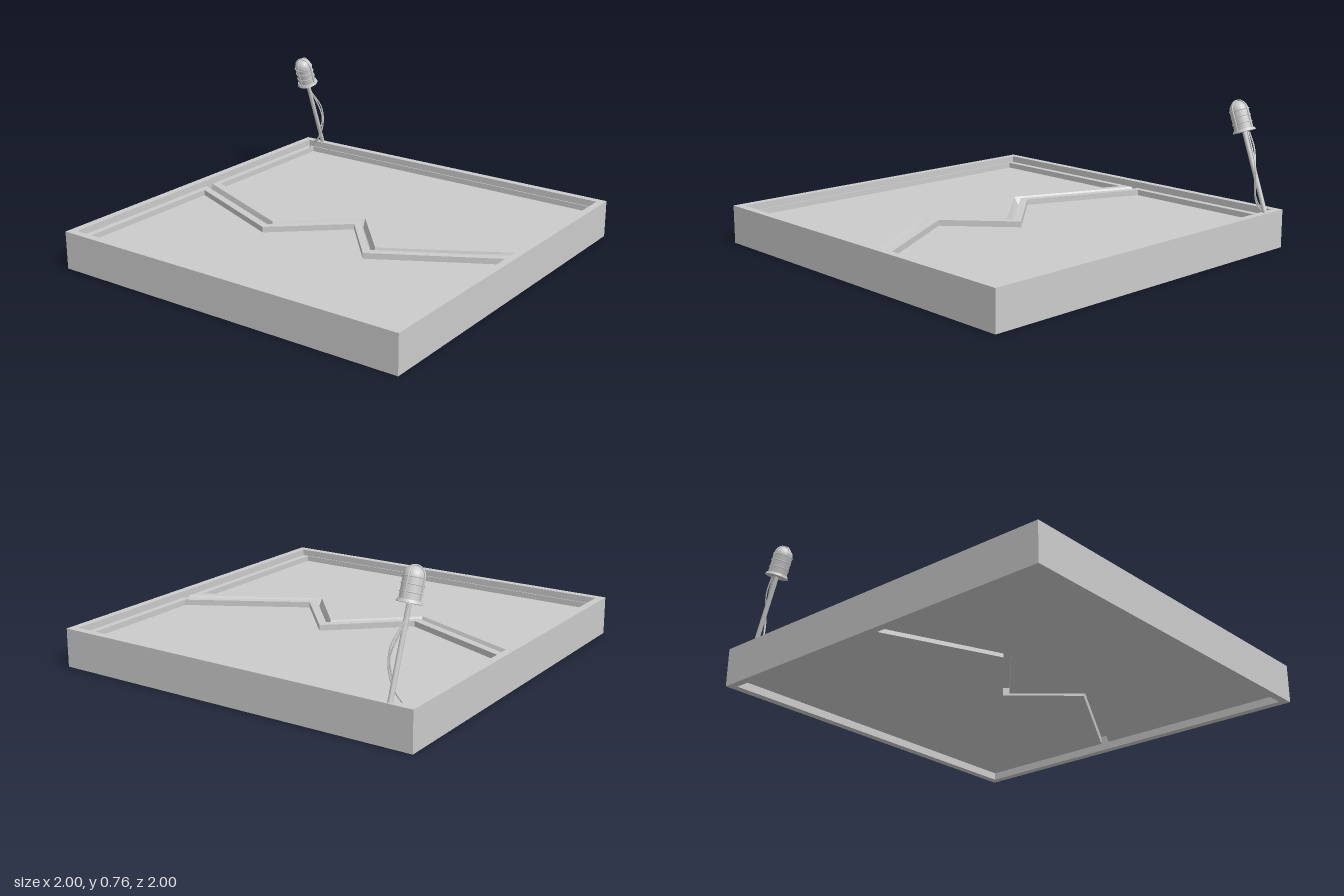
import * as THREE from 'three';

const mat = new THREE.MeshStandardMaterial({ color: 0xcccccc });
const flat = new THREE.MeshStandardMaterial({ color: 0xcccccc, flatShading: true, side: THREE.DoubleSide });

function add(parent, name, geo, material = mat) {
  const m = new THREE.Mesh(geo, material);
  m.name = name;
  parent.add(m);
  return m;
}

// Plan outline of [x, z] points as counter-clockwise 2D points
function outline(points) {
  const v = points.map(p => new THREE.Vector2(p[0], -p[1]));
  return THREE.ShapeUtils.isClockWise(v) ? v.reverse() : v;
}

// Extrude a plan outline between heights y0 and y1, with an optional hole
function slab(points, y0, y1, hole) {
  const shape = new THREE.Shape(outline(points));
  if (hole) shape.holes.push(new THREE.Path(outline(hole).reverse()));
  return new THREE.ExtrudeGeometry(shape, { depth: y1 - y0, bevelEnabled: false })
    .rotateX(-Math.PI / 2).translate(0, y0, 0);
}

// Sloping strip between two zigzag lines at different heights
function ribbon(a, ya, b, yb) {
  const pos = [], idx = [];
  a.forEach((p, i) => {
    pos.push(p[0], ya, p[1], b[i][0], yb, b[i][1]);
    if (i) {
      const k = 2 * i;
      idx.push(k - 2, k - 1, k, k, k - 1, k + 1);
    }
  });
  const g = new THREE.BufferGeometry();
  g.setAttribute('position', new THREE.Float32BufferAttribute(pos, 3));
  g.setIndex(idx);
  g.computeVertexNormals();
  return g;
}

const square = r => [[-r, -r], [r, -r], [r, r], [-r, r]];

// Zigzag seam lines, from the back door across the groove to the front door
const backPanelEdge = [[-0.925, -0.09], [-0.31, 0.163], [0.055, -0.167], [0.335, 0.142], [0.925, -0.195]];
const backEdge = [[-0.96, -0.06], [-0.307, 0.21], [0.055, -0.108], [0.328, 0.198], [0.96, -0.167]];
const grooveLine = [[-0.96, -0.04], [-0.305, 0.227], [0.055, -0.09], [0.325, 0.212], [0.96, -0.15]];
const frontEdge = [[-0.96, -0.012], [-0.303, 0.257], [0.055, -0.065], [0.322, 0.24], [0.96, -0.117]];
const frontPanelEdge = [[-0.925, 0.045], [-0.3, 0.303], [0.055, -0.008], [0.32, 0.292], [0.925, -0.05]];

const PANEL = 0.135, RIM = 0.165, GROOVE = 0.12;

// Plan of one door: seam line closed along the frame
const doorPlan = (edge, x, z) => [...edge, [x, z], [-x, z]];

// Sunken panel with a raised rim around it
function buildDoor(name, edge, panelEdge, side) {
  const g = new THREE.Group();
  g.name = name;
  const plan = doorPlan(edge, 0.96, side * 0.96);
  add(g, 'doorPanel', slab(plan, 0.04, PANEL));
  add(g, 'doorRim', slab(plan, PANEL, RIM, doorPlan(panelEdge, 0.925, side * 0.954)));
  return g;
}

function buildHatch() {
  const g = new THREE.Group();
  g.name = 'hatch';
  add(g, 'frame', slab(square(1), 0, 0.2, square(0.96)));
  g.add(buildDoor('backDoor', backEdge, backPanelEdge, -1));
  g.add(buildDoor('frontDoor', frontEdge, frontPanelEdge, 1));
  // V-shaped groove closing the seam
  add(g, 'grooveBackSlope', ribbon(backEdge, RIM, grooveLine, GROOVE), flat);
  add(g, 'grooveFrontSlope', ribbon(grooveLine, GROOVE, frontEdge, RIM), flat);
  add(g, 'seamSeal', slab([...backEdge, ...[...frontEdge].reverse()], 0.08, GROOVE));
  return g;
}

function buildLamp() {
  const g = new THREE.Group();
  g.name = 'warningLamp';
  const head = new THREE.Group();
  head.name = 'lampHead';

  // Flared base collar
  add(head, 'collar', new THREE.CylinderGeometry(0.054, 0.06, 0.014, 24).translate(0, 0.007, 0));
  // Domed glass
  const profile = [[0.049, 0.01], [0.049, 0.112]];
  for (let i = 1; i <= 8; i++) {
    const a = i / 8 * Math.PI / 2;
    profile.push([0.049 * Math.cos(a), 0.112 + 0.049 * Math.sin(a)]);
  }
  add(head, 'glassDome', new THREE.LatheGeometry(profile.map(p => new THREE.Vector2(Math.max(p[0], 0), p[1])), 24));

  // Cage hoops over the dome
  for (let i = 0; i < 2; i++) {
    const pts = [new THREE.Vector3(-0.052, 0.01, 0)];
    for (let k = 0; k <= 12; k++) {
      const a = Math.PI * (1 - k / 12);
      pts.push(new THREE.Vector3(0.052 * Math.cos(a), 0.112 + 0.052 * Math.sin(a), 0));
    }
    pts.push(new THREE.Vector3(0.052, 0.01, 0));
    const bar = add(head, 'cageHoop', new THREE.TubeGeometry(new THREE.CatmullRomCurve3(pts, false, 'centripetal'), 36, 0.004, 6));
    bar.rotation.y = i * Math.PI / 2;
  }
  // Cage rings
  for (const y of [0.045, 0.08, 0.112]) {
    add(head, 'cageRing', new THREE.TorusGeometry(0.05, 0.003, 6, 28).rotateX(Math.PI / 2).translate(0, y, 0));
  }
  head.position.set(-0.875, 0.598, -0.836);
  head.rotation.x = 0.35;
  g.add(head);

  // Leaning pole
  const pole = new THREE.LineCurve3(new THREE.Vector3(-0.875, 0.19, -0.985), new THREE.Vector3(-0.875, 0.605, -0.833));
  add(g, 'pole', new THREE.TubeGeometry(pole, 1, 0.012, 12));

  // Two slack cables hanging beside the pole and running into the frame
  const cables = [
    [[-0.892, 0.6, -0.842], [-0.878, 0.53, -0.88], [-0.848, 0.44, -0.93], [-0.84, 0.36, -0.943], [-0.85, 0.28, -0.938], [-0.885, 0.225, -0.943], [-0.915, 0.2, -0.947], [-0.95, 0.168, -0.955]],
    [[-0.888, 0.6, -0.856], [-0.885, 0.52, -0.893], [-0.858, 0.44, -0.922], [-0.842, 0.37, -0.935], [-0.856, 0.28, -0.93], [-0.872, 0.23, -0.935], [-0.905, 0.198, -0.94], [-0.94, 0.165, -0.935]],
  ];
  for (const c of cables) {
    const curve = new THREE.CatmullRomCurve3(c.map(p => new THREE.Vector3(...p)));
    add(g, 'cable', new THREE.TubeGeometry(curve, 36, 0.004, 6));
  }
  return g;
}

export function createModel() {
  const model = new THREE.Group();
  model.name = 'hatchWithLamp';
  model.add(buildHatch(), buildLamp());
  return model;
}
